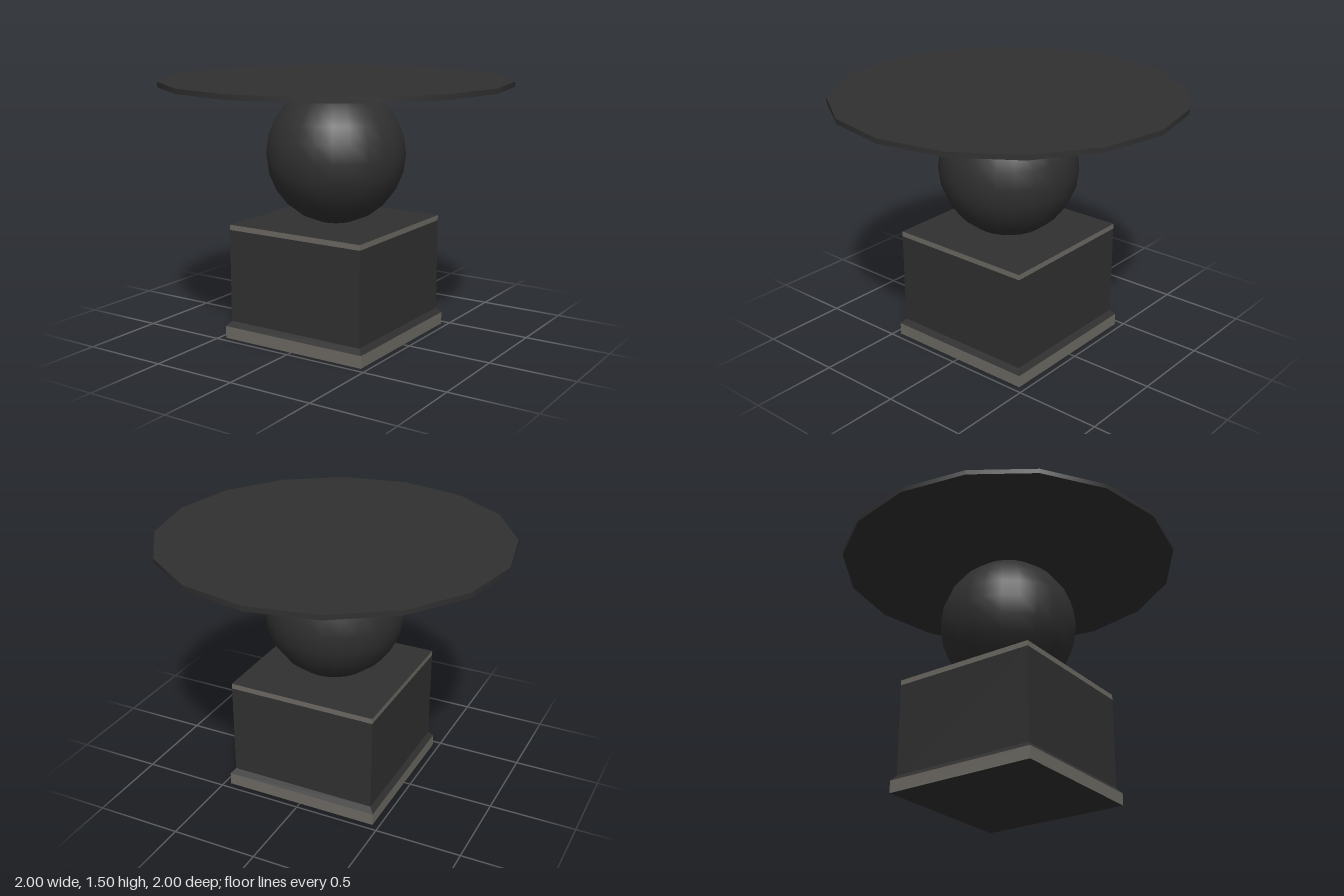
import * as THREE from 'three';

const dark = new THREE.MeshStandardMaterial({ color: 0x303030 });
dark.name = 'charcoal';
const trim = new THREE.MeshStandardMaterial({ color: 0x6c6963 });
trim.name = 'warmGrey';

export function createModel() {
  const group = new THREE.Group();

  const add = (name, geometry, material, y) => {
    const mesh = new THREE.Mesh(geometry, material);
    mesh.name = name;
    mesh.position.y = y;
    group.add(mesh);
  };

  // Square slab between two heights; sides and caps may differ in colour
  const slab = (name, half, y0, y1, side, cap) =>
    add(name, new THREE.BoxGeometry(half * 2, y1 - y0, half * 2),
      [side, side, cap, cap, side, side], (y0 + y1) / 2);

  // Pedestal: grey foot, sloped shoulder, dark block, grey top band
  slab('foot', 0.462, 0, 0.072, trim, dark);
  const slope = new THREE.CylinderGeometry(0.437 * Math.SQRT2, 0.462 * Math.SQRT2, 0.03, 4, 1, true)
    .rotateY(Math.PI / 4).toNonIndexed();
  slope.computeVertexNormals();
  add('footSlope', slope, dark, 0.087);
  slab('block', 0.437, 0.072, 0.645, dark, dark);
  slab('topBand', 0.437, 0.645, 0.676, trim, dark);

  // Ball resting on the pedestal
  add('ball', new THREE.SphereGeometry(0.402, 24, 12), dark, 1.067);

  // Thin sixteen-sided table top
  add('tableTop', new THREE.CylinderGeometry(1, 1, 0.028, 16), dark, 1.481);

  return group;
}
